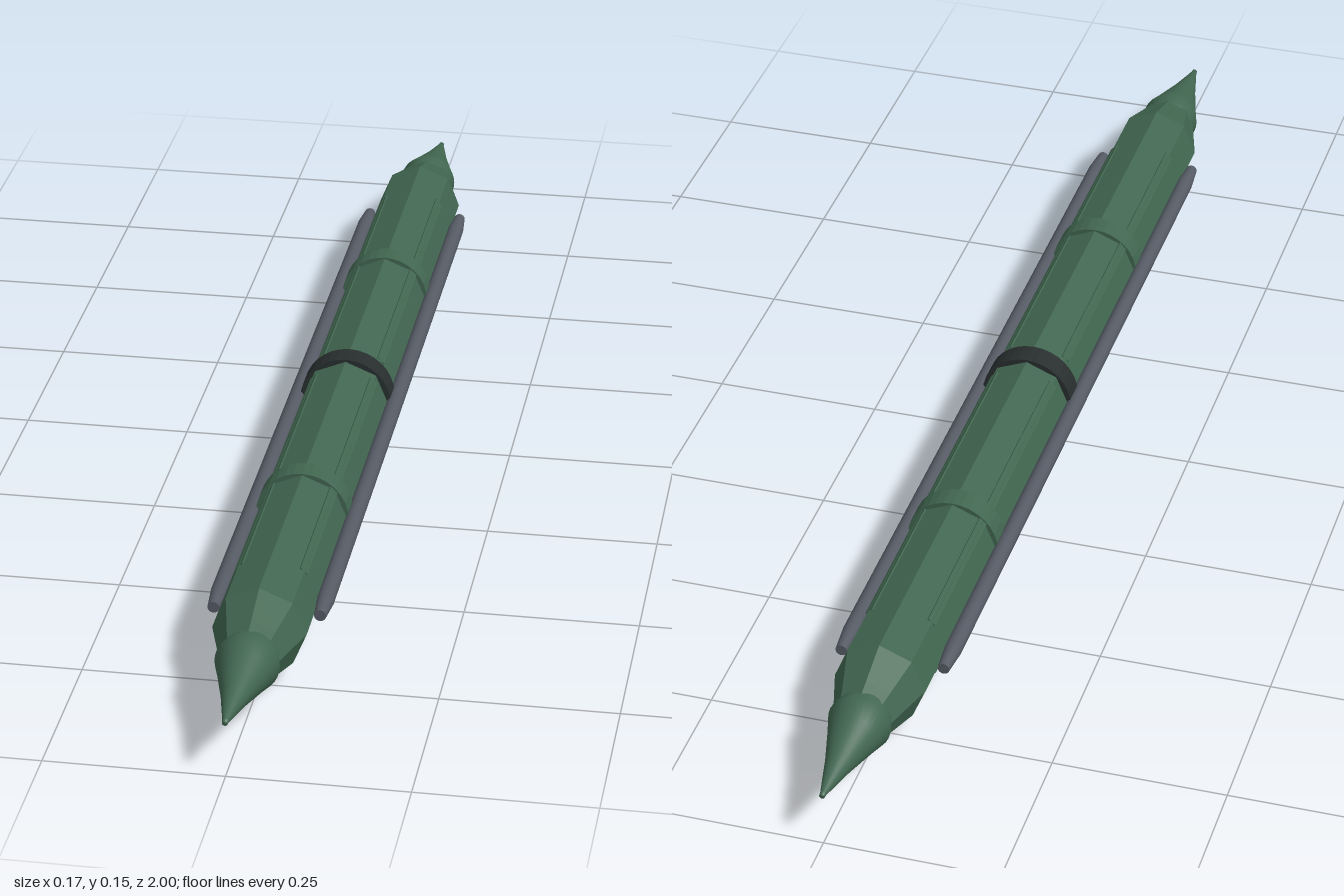
import * as THREE from 'three';

const CY = 0.0825; // height of the long axis

export function createModel() {
  const model = new THREE.Group();
  const mat = (name, color, flat = false) => {
    const m = new THREE.MeshStandardMaterial({ color, flatShading: flat });
    m.name = name;
    return m;
  };
  const green = mat('hull green', 0x416650);
  const grey = mat('rod grey', 0x555a64);
  const dark = mat('dark band', 0x282e2e);

  const add = (name, geo, material, x = 0, y = CY, z = 0) => {
    const mesh = new THREE.Mesh(geo, material);
    mesh.name = name;
    mesh.position.set(x, y, z);
    model.add(mesh);
    return mesh;
  };
  // Turned shape along z from [radius, z] pairs
  const turned = (points, sides) => {
    const g = new THREE.LatheGeometry(points.map(([r, z]) => new THREE.Vector2(r, z)), sides);
    return g.rotateX(Math.PI / 2);
  };
  // Faceted shape: each segment has its own edges
  const faceted = (points, sides) => {
    const g = turned(points, sides).toNonIndexed();
    g.computeVertexNormals();
    return g;
  };

  // Octagonal hull with tapered shoulders
  add('hull', faceted([[0, -0.83], [0.041, -0.83], [0.048, -0.805], [0.066, -0.745], [0.066, 0.745],
    [0.048, 0.805], [0.041, 0.83], [0, 0.83]], 8), green);

  // Smooth pointed tips with a small collar
  for (const s of [1, -1]) {
    const tip = add(s > 0 ? 'frontTip' : 'rearTip', turned([[0.038, 0.805], [0.045, 0.838], [0.036, 0.868],
      [0.019, 0.93], [0.0045, 0.994], [0.004, 1], [0, 1]], 32), green);
    if (s < 0) tip.rotation.y = Math.PI;
  }

  // Bands around the hull
  const band = (name, z, r, w, material) =>
    add(name, faceted([[0.06, -w / 2], [r, -w / 2], [r, w / 2], [0.06, w / 2]], 32), material, 0, CY, z);
  band('middleBand', 0, 0.0695, 0.038, dark);
  band('frontBand', 0.383, 0.068, 0.036, green);
  band('rearBand', -0.383, 0.068, 0.036, green);

  // Raised ribs on the diagonal edges, broken at the bands
  for (let i = 0; i < 4; i++) {
    const a = Math.PI / 4 + i * Math.PI / 2;
    for (const [z0, z1] of [[0.4, 0.65], [0.035, 0.365], [-0.365, -0.035], [-0.65, -0.4]]) {
      const rib = add('edgeRib', new THREE.BoxGeometry(0.008, 0.014, z1 - z0), green,
        Math.cos(a) * 0.0615, CY + Math.sin(a) * 0.0615, (z0 + z1) / 2);
      rib.rotation.z = a;
    }
  }

  // Side rods with narrowed ends
  for (const s of [1, -1]) {
    add(s > 0 ? 'leftRod' : 'rightRod', turned([[0, -0.69], [0.0085, -0.69], [0.0085, -0.69], [0.0125, -0.645],
      [0.0125, 0.645], [0.0085, 0.69], [0.0085, 0.69], [0, 0.69]], 16), grey, s * 0.075);
  }

  // Underside rail with splayed pegs and round buttons
  add('bottomRail', new THREE.BoxGeometry(0.02, 0.008, 0.18), dark, 0, 0.015, 0.21);
  add('bottomPlate', new THREE.BoxGeometry(0.016, 0.006, 0.14), dark, 0, 0.016, -0.1);
  for (const z of [0.29, 0.24, 0.18, 0.135]) {
    for (const s of [1, -1]) {
      const peg = add('peg', new THREE.BoxGeometry(0.004, 0.015, 0.008), grey, s * 0.0145, 0.0085, z);
      peg.rotation.z = s * 0.4;
    }
  }
  for (const z of [0.24, 0.165]) {
    add('button', new THREE.CylinderGeometry(0.009, 0.006, 0.012, 12), grey, 0, 0.008, z);
  }
  return model;
}
